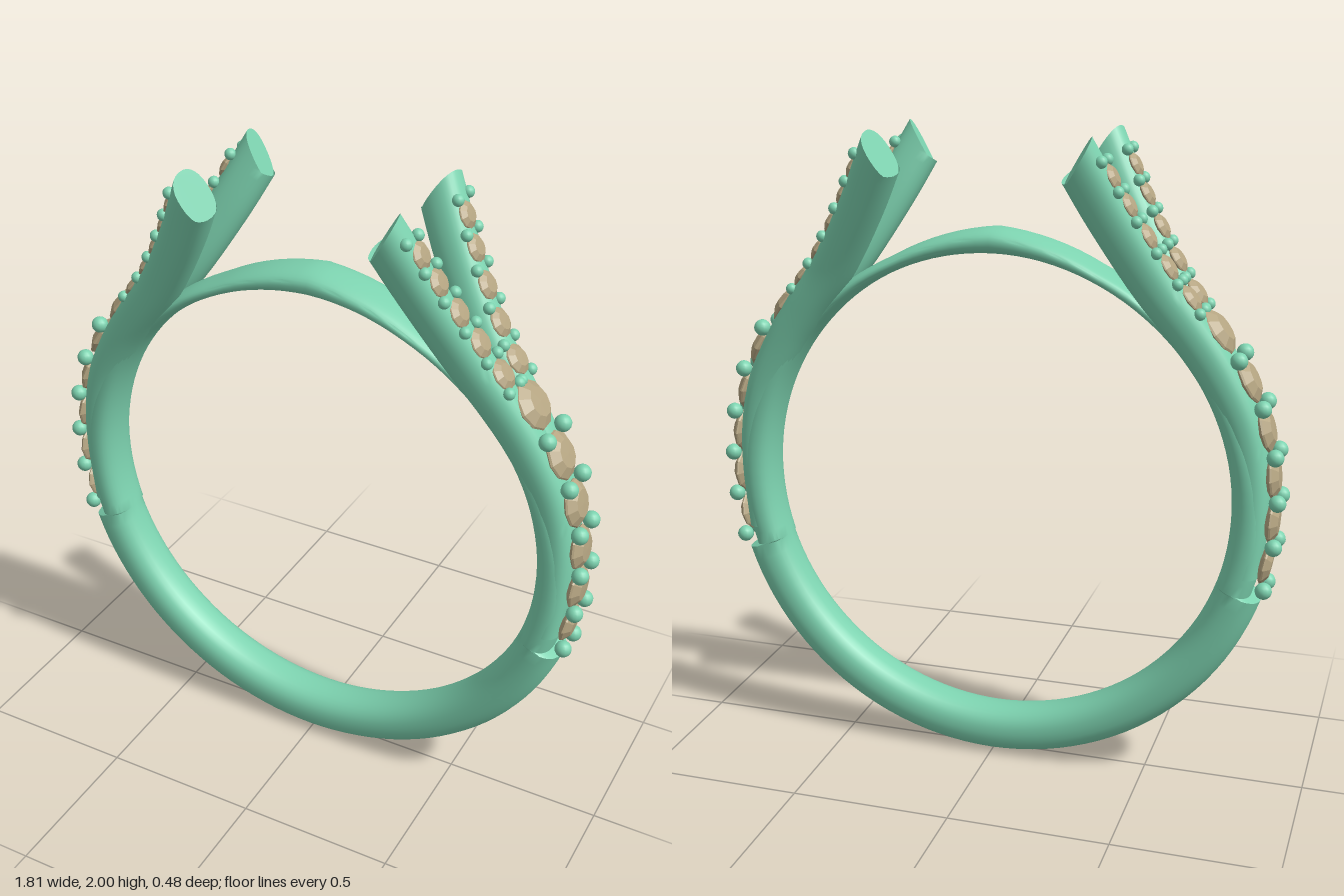
import * as THREE from 'three';
import { toCreasedNormals } from 'three/addons/utils/BufferGeometryUtils.js';

const V = (x, y, z = 0) => new THREE.Vector3(x, y, z);
const metal = new THREE.MeshStandardMaterial({ color: 0x7dd3b0 });
const gem = new THREE.MeshStandardMaterial({ color: 0xb5a582, flatShading: true });
const CENTRE = 0.89, INNER = 0.742, SIDES = 28;

// Piecewise linear lookup in [key, value] pairs
function lookup(table, k) {
  for (let i = 1; i < table.length; i++) {
    const [a, va] = table[i - 1], [b, vb] = table[i];
    if (k <= b) return va + (vb - va) * Math.max(0, (k - a) / (b - a));
  }
  return table[table.length - 1][1];
}

// Rounded section coordinates, a little squarer than an ellipse
function section(power = 0.85) {
  const f = v => Math.sign(v) * Math.abs(v) ** power;
  return Array.from({ length: SIDES }, (_, j) => {
    const t = j / SIDES * Math.PI * 2;
    return [f(Math.cos(t)), f(Math.sin(t))];
  });
}

// Skin a run of cross-section rings, either closed into a hoop or capped
function skin(rings, closed) {
  const n = rings.length, pos = [], idx = [];
  rings.forEach(r => r.forEach(p => pos.push(p.x, p.y, p.z)));
  for (let i = 0; i < (closed ? n : n - 1); i++) {
    for (let j = 0; j < SIDES; j++) {
      const a = i * SIDES + j, b = i * SIDES + (j + 1) % SIDES;
      const k = ((i + 1) % n) * SIDES;
      const c = k + (j + 1) % SIDES, d = k + j;
      idx.push(a, b, c, a, c, d);
    }
  }
  if (!closed) {
    const e = (n - 1) * SIDES;
    for (let j = 1; j < SIDES - 1; j++) idx.push(0, j + 1, j, e, e + j, e + j + 1);
  }
  const g = new THREE.BufferGeometry();
  g.setAttribute('position', new THREE.Float32BufferAttribute(pos, 3));
  g.setIndex(idx);
  return toCreasedNormals(g, 0.65);
}

function addMesh(parent, geometry, material, name) {
  const m = new THREE.Mesh(geometry, material);
  m.name = name;
  parent.add(m);
  return m;
}

// Hoop: full at the bottom, stepped down under the stones, slim at the top
function bandGeometry() {
  const outer = [[0, 0.89], [72, 0.885], [72.3, 0.852], [95, 0.852], [115, 0.83], [140, 0.79], [155, 0.787], [180, 0.82]];
  const half = [72.3];
  for (let a = 0; a <= 180; a += 3) half.push(a);
  half.sort((p, q) => p - q);
  const angles = [...half, ...half.slice(1, -1).reverse().map(a => 360 - a)];
  const shape = section();
  return skin(angles.map(deg => {
    const k = Math.min(deg, 360 - deg), a = deg * Math.PI / 180;
    const R = lookup(outer, k), mid = (R + INNER) / 2, h = (R - INNER) / 2;
    return shape.map(([u, v]) => {
      const r = mid + u * h;
      return V(r * Math.sin(a), CENTRE - r * Math.cos(a), -v * 0.081);
    });
  }), true);
}

// Centre line of one shoulder, flaring up and away from the hoop
const shoulder = new THREE.CatmullRomCurve3([
  V(0.785, 0.7, 0.02), V(0.8, 0.9, 0.02), V(0.793, 1.04, 0.02), V(0.758, 1.18, 0.024),
  V(0.678, 1.33, 0.034), V(0.597, 1.445, 0.048), V(0.497, 1.575, 0.072),
  V(0.372, 1.78, 0.132), V(0.294, 1.93, 0.181)]);
const thickness = y => lookup([[0.7, 0.048], [1.04, 0.053], [1.33, 0.062], [1.6, 0.067], [2, 0.068]], y);

function frame(t) {
  const p = shoulder.getPoint(t), d = shoulder.getTangent(t);
  const n = V(d.y, -d.x).normalize();
  return { p, d, n, b: d.clone().cross(n) };
}

// Parameter whose outer surface lies at height y
function paramAtHeight(y) {
  let lo = 0, hi = 1;
  for (let i = 0; i < 30; i++) {
    const t = (lo + hi) / 2, f = frame(t);
    if (f.p.y + f.n.y * thickness(f.p.y) < y) lo = t; else hi = t;
  }
  return lo;
}

function shoulderGeometry(side) {
  const shape = section(), steps = 48, rings = [];
  for (let i = 0; i <= steps; i++) {
    const { p, d, n, b } = frame(i / steps), h = thickness(p.y);
    // The tip is cut on a slant
    const slant = i === steps ? 0.042 : 0;
    const ring = shape.map(([u, v]) => p.clone().addScaledVector(n, u * h)
      .addScaledVector(b, v * 0.059).addScaledVector(d, u * slant));
    if (side < 0) { ring.forEach(q => { q.z *= -1; }); ring.reverse(); }
    rings.push(ring);
  }
  return skin(rings, false);
}

// Faceted stone of unit girdle radius, table facing +y
const stoneGeometry = new THREE.LatheGeometry(
  [[0, -0.6], [0.95, -0.06], [1, 0], [0.96, 0.08], [0.58, 0.34], [0, 0.36]].map(p => new THREE.Vector2(...p)), 10);
const beadGeometry = new THREE.SphereGeometry(1, 14, 10);

function addStone(parent, at, normal, radius) {
  const m = addMesh(parent, stoneGeometry, gem, 'stone');
  m.position.copy(at);
  m.quaternion.setFromUnitVectors(V(0, 1, 0), normal);
  m.scale.setScalar(radius);
}

function addBead(parent, at, radius) {
  const m = addMesh(parent, beadGeometry, metal, 'bead');
  m.position.copy(at);
  m.scale.setScalar(radius);
}

// Outer edge along the middle of the hoop's side
const edge = y => lookup([[0.62, 0.828], [0.66, 0.84], [0.78, 0.862], [0.93, 0.869], [1.08, 0.855],
  [1.22, 0.815], [1.3, 0.776], [1.37, 0.735], [1.47, 0.66]], y);

function buildSide() {
  const g = new THREE.Group();
  // Single row of larger stones up the side
  const row = [[0.73, 0.063], [0.87, 0.069], [1.01, 0.07], [1.155, 0.073], [1.3, 0.074], [1.44, 0.078]];
  for (const [y, r] of row) {
    const n = V(0.06, edge(y - 0.03) - edge(y + 0.03)).normalize();
    addStone(g, V(edge(y), y).addScaledVector(n, -0.006), n, r);
  }
  const pairs = [[0.66, 0.043], [0.8, 0.043], [0.94, 0.045], [1.08, 0.048], [1.225, 0.052], [1.365, 0.06]];
  for (const s of [1, -1]) {
    for (const [y, z] of pairs) addBead(g, V(edge(y) + 0.012, y, s * z), 0.026);

    // Flared shoulder with its own row of small stones
    addMesh(g, shoulderGeometry(s), metal, 'shoulder');
    const place = (y, off, lift) => {
      const { p, n } = frame(paramAtHeight(y));
      const q = p.clone().addScaledVector(n, thickness(p.y) + lift);
      q.z = s * (q.z - 0.006 + off);
      return { q, n };
    };
    [1.54, 1.63, 1.72, 1.81, 1.89].forEach((y, i) => {
      const { q, n } = place(y, 0, -0.004);
      addStone(g, q, n, 0.048 - i * 0.0015);
    });
    for (const y of [1.5, 1.585, 1.675, 1.765, 1.85, 1.935]) {
      for (const off of [-0.036, 0.036]) addBead(g, place(y, off, -0.002).q, 0.018);
    }
  }
  return g;
}

export function createModel() {
  const model = new THREE.Group();
  model.name = 'ring';
  addMesh(model, bandGeometry(), metal, 'band');
  const left = buildSide(), right = buildSide();
  left.name = 'leftSide';
  right.name = 'rightSide';
  right.rotation.y = Math.PI;
  model.add(left, right);
  return model;
}
